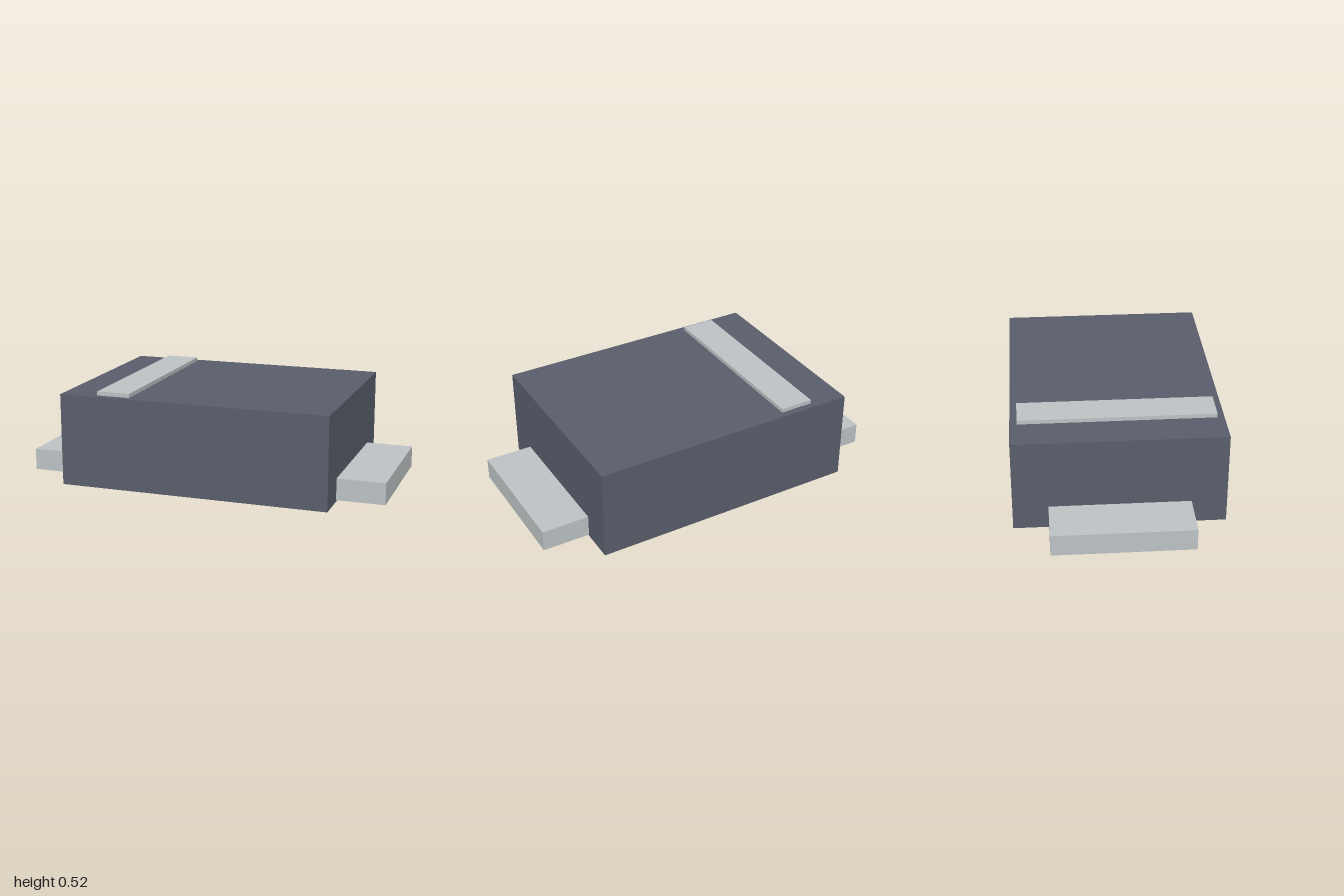
import * as THREE from 'three';

const bodyDark = new THREE.MeshStandardMaterial({ color: 0x585e6a });
bodyDark.name = 'bodyDark';
const metalGrey = new THREE.MeshStandardMaterial({ color: 0xbcc2c4 });
metalGrey.name = 'metalGrey';

// Box given by its extents in x and y, and its depth centred on z = 0
function block(name, material, x0, x1, y0, y1, depth) {
  const mesh = new THREE.Mesh(new THREE.BoxGeometry(x1 - x0, y1 - y0, depth), material);
  mesh.name = name;
  mesh.position.set((x0 + x1) / 2, (y0 + y1) / 2, 0);
  return mesh;
}

export function createModel() {
  const model = new THREE.Group();
  model.name = 'diodePackage';

  // Moulded case
  model.add(block('body', bodyDark, -0.74, 0.74, 0, 0.503, 1.11));

  // Raised polarity band on top
  model.add(block('polarityBand', metalGrey, -0.54, -0.355, 0.503, 0.525, 1.036));

  // Flat terminals at both ends
  model.add(block('leftLead', metalGrey, 0.74, 1, 0.008, 0.126, 0.74));
  model.add(block('rightLead', metalGrey, -1, -0.74, 0.008, 0.126, 0.74));

  return model;
}
